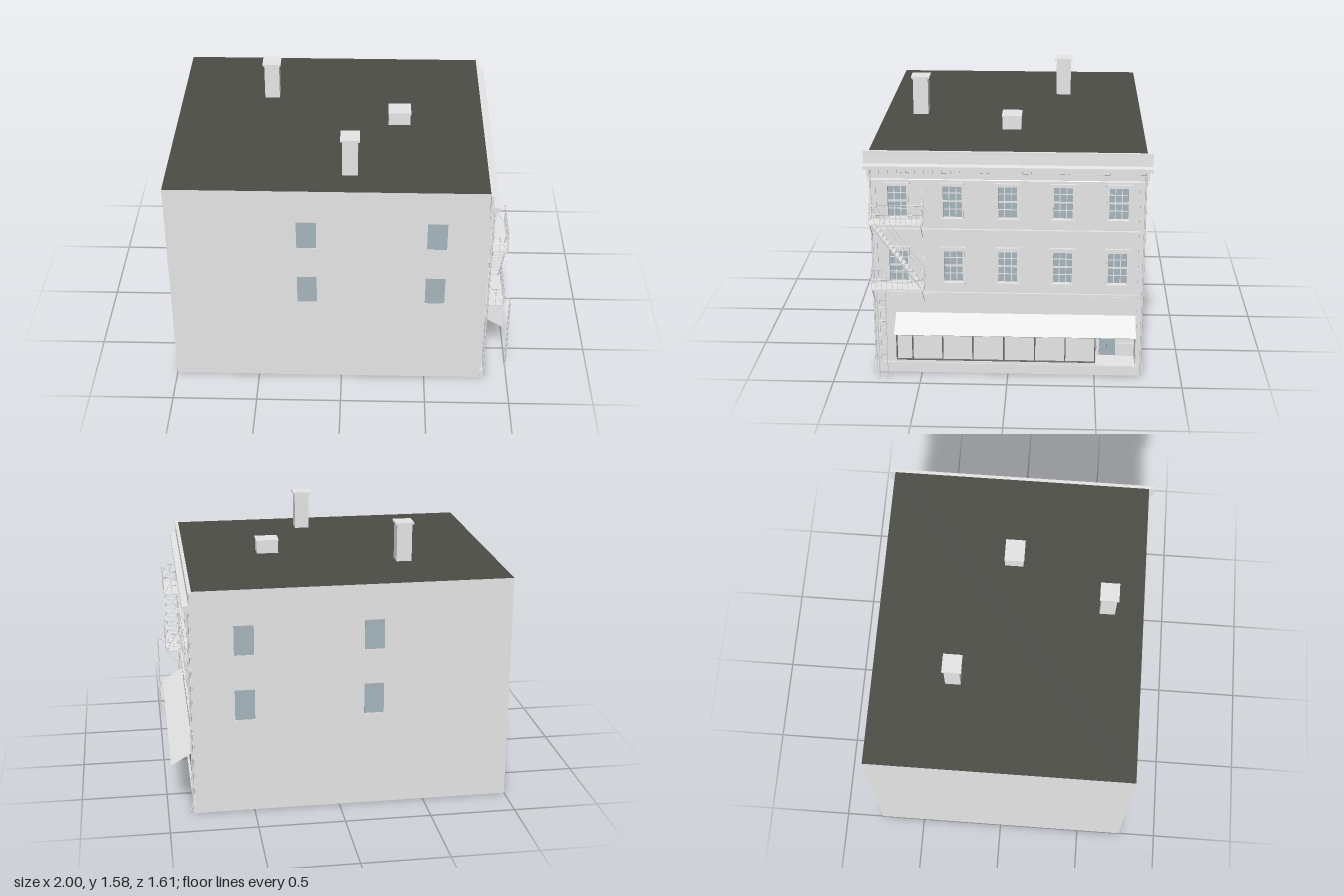
import * as THREE from 'three';

const mat = (name, color, side = THREE.FrontSide) => {
  const m = new THREE.MeshStandardMaterial({ color, side });
  m.name = name;
  return m;
};

export function createModel() {
  const wall = mat('wall grey', 0xe6e6e6, THREE.DoubleSide);
  const roofDark = mat('roof dark', 0x4c4c47);
  const glass = mat('window glass', 0xa6b6bd);
  const frameDark = mat('shopfront frame', 0x6a6a68);

  const model = new THREE.Group();
  model.name = 'building';

  const group = (name, parent = model) => {
    const g = new THREE.Group();
    g.name = name;
    parent.add(g);
    return g;
  };
  const add = (parent, name, geo, m) => {
    const mesh = new THREE.Mesh(geo, m);
    mesh.name = name;
    parent.add(mesh);
    return mesh;
  };
  // box from its limits on each axis
  const box = (parent, name, m, x0, x1, y0, y1, z0, z1) => {
    const b = add(parent, name, new THREE.BoxGeometry(x1 - x0, y1 - y0, z1 - z0), m);
    b.position.set((x0 + x1) / 2, (y0 + y1) / 2, (z0 + z1) / 2);
  };
  // straight bar between two points
  const rod = (parent, name, a, b, r = 0.0018) => {
    const p = new THREE.Vector3(...a), q = new THREE.Vector3(...b);
    const d = q.clone().sub(p);
    const c = add(parent, name, new THREE.CylinderGeometry(r, r, d.length(), 6), wall);
    c.position.copy(p).add(q).multiplyScalar(0.5);
    c.quaternion.setFromUnitVectors(new THREE.Vector3(0, 1, 0), d.normalize());
  };

  // plain walls, open underneath
  const H = 1.345, D = 0.772, F = 0.84;
  for (const s of [1, -1]) {
    const side = add(model, s > 0 ? 'frontWall' : 'backWall', new THREE.PlaneGeometry(F + 1, H), wall);
    side.position.set((F - 1) / 2, H / 2, s * D);
    if (s < 0) side.rotation.y = Math.PI;
    for (const x of [-0.2, 0.545]) for (const [y0, y1] of [[0.57, 0.75], [0.96, 1.135]]) {
      const z = s * D;
      box(model, 'sideWindow', glass, x - 0.057, x + 0.057, y0, y1, z - 0.002, z + 0.002);
      box(model, 'sideSill', wall, x - 0.062, x + 0.062, y0 - 0.006, y0, z - 0.005, z + 0.005);
    }
  }
  const left = add(model, 'leftWall', new THREE.PlaneGeometry(2 * D, H), wall);
  left.position.set(-1, H / 2, 0);
  left.rotation.y = -Math.PI / 2;

  // roof, ground floor, chimneys and hatch
  box(model, 'roof', roofDark, -0.999, 0.832, H - 0.012, H + 0.001, -D + 0.001, D - 0.001);
  box(model, 'shopFloor', wall, 0.17, 0.8, 0.045, 0.055, -D + 0.002, D - 0.002);
  for (const [x, z] of [[-0.45, -0.302], [0.045, 0.558]]) {
    box(model, 'chimney', wall, x - 0.045, x + 0.045, H, 1.568, z - 0.045, z + 0.045);
    box(model, 'chimneyCap', wall, x - 0.055, x + 0.055, 1.568, 1.58, z - 0.055, z + 0.055);
  }
  box(model, 'roofHatch', wall, 0.265, 0.395, H, 1.42, -0.06, 0.05);
  box(model, 'roofHatchLid', wall, 0.262, 0.398, 1.42, 1.428, -0.063, 0.053);

  // street facade: local x runs along the wall, local z points outward
  const facade = group('facade');
  facade.rotation.y = Math.PI / 2;
  const rectPath = (x0, x1, y0, y1, P = THREE.Path) =>
    new P([[x0, y0], [x1, y0], [x1, y1], [x0, y1]].map(p => new THREE.Vector2(...p)));
  const cols = [-0.62, -0.31, 0, 0.31, 0.62];
  const rows = [[0.568, 0.757], [0.957, 1.145]];
  const face = rectPath(-D, D, 0, H - 0.002, THREE.Shape);
  for (const u of cols) for (const [y0, y1] of rows) face.holes.push(rectPath(u - 0.056, u + 0.056, y0, y1));
  face.holes.push(rectPath(-0.65, 0.5, 0.07, 0.26), rectPath(0.51, 0.735, 0.06, 0.26));
  const wallMesh = add(facade, 'streetWall', new THREE.ExtrudeGeometry(face, { depth: 0.035, bevelEnabled: false }), wall);
  wallMesh.position.z = F - 0.035;

  // sash windows with glazing bars, hood and sill
  for (const u of cols) rows.forEach(([y0, y1], row) => {
    const w = group('sashWindow', facade), mid = (y0 + y1) / 2, h = y1 - y0;
    box(w, 'pane', glass, u - 0.056, u + 0.056, y0, y1, 0.816, 0.822);
    for (const s of [-1, 1]) {
      box(w, 'jamb', wall, u + s * 0.058 - 0.005, u + s * 0.058 + 0.005, y0, y1, 0.82, 0.847);
      box(w, 'glazingBar', wall, u + s * 0.019 - 0.0025, u + s * 0.019 + 0.0025, y0, y1, 0.821, 0.825);
    }
    for (const t of [0.25, 0.75]) box(w, 'glazingBar', wall, u - 0.056, u + 0.056, y0 + h * t - 0.0025, y0 + h * t + 0.0025, 0.821, 0.825);
    box(w, 'meetingRail', wall, u - 0.056, u + 0.056, mid - 0.004, mid + 0.004, 0.82, 0.83);
    const hood = row ? 0.012 : 0.018;
    box(w, 'hood', wall, u - 0.064, u + 0.064, y1, y1 + hood, 0.82, 0.85);
    box(w, 'hoodCap', wall, u - 0.071, u + 0.071, y1 + hood, y1 + hood + 0.009, F, 0.857);
    box(w, 'sill', wall, u - 0.067, u + 0.067, y0 - 0.011, y0, 0.815, 0.857);
  });

  // parapet and cornice, one profile swept along the wall
  const sweep = (name, pts, half) => {
    const g = new THREE.ExtrudeGeometry(new THREE.Shape(pts.map(p => new THREE.Vector2(...p))), { depth: 2 * half, bevelEnabled: false });
    add(model, name, g, wall).position.z = -half;
  };
  sweep('cornice', [[0.83, 1.25], [0.885, 1.25], [0.885, 1.27], [0.848, 1.275],
    [0.845, 1.337], [0.85, 1.337], [0.85, 1.347], [0.83, 1.347]], 0.803);
  sweep('frieze', [[0.835, 1.175], [0.85, 1.175], [0.85, 1.183], [0.846, 1.187], [0.846, 1.222], [0.856, 1.226], [0.856, 1.25], [0.835, 1.25]], 0.785);
  for (let i = 0; i < 32; i++) {
    const u = -0.775 + i * 0.05;
    box(facade, 'modillion', wall, u - 0.009, u + 0.009, 1.229, 1.25, 0.855, 0.879);
  }

  // string courses, base, corner pilasters and downpipes
  for (const [y0, y1, o] of [[0.875, 0.892, 0.858], [0.496, 0.505, 0.853], [0, 0.06, 0.856]])
    box(facade, 'course', wall, -0.778, 0.778, y0, y1, 0.835, o);
  for (const s of [-1, 1]) {
    box(facade, 'pilaster', wall, s * 0.75 - 0.012, s * 0.75 + 0.012, 0.06, 1.175, F, 0.848);
    const pts = [[0.856, 1.24], [0.856, 0.9], [0.856, 0.08], [0.86, 0.04], [0.875, 0.008]];
    const curve = new THREE.CatmullRomCurve3(pts.map(([o, y]) => new THREE.Vector3(s * 0.767, y, o)), false, 'catmullrom', 0.2);
    add(facade, 'downpipe', new THREE.TubeGeometry(curve, 24, 0.005, 8), wall);
  }

  // sign panel and shopfront
  box(facade, 'signPanel', wall, -0.435, 0.435, 0.38, 0.496, F, 0.846);
  box(facade, 'signBand', wall, -0.74, 0.74, 0.375, 0.485, F, 0.843);
  box(facade, 'shopPane', wall, -0.65, 0.5, 0.07, 0.26, 0.824, 0.83);
  for (const u of [-0.647, -0.555, -0.38, -0.205, -0.025, 0.155, 0.33, 0.503])
    box(facade, 'mullion', frameDark, u - 0.003, u + 0.003, 0.07, 0.26, 0.83, 0.845);
  box(facade, 'shopLedge', wall, -0.65, 0.51, 0.06, 0.07, 0.82, 0.85);
  box(facade, 'shopRail', frameDark, -0.65, 0.5, 0.07, 0.074, 0.83, 0.843);
  box(facade, 'shopHeader', wall, -0.65, 0.735, 0.26, 0.298, F, 0.847);

  // recessed entrance
  const entry = group('entrance', facade);
  box(entry, 'entryBack', wall, 0.505, 0.74, 0.055, 0.265, 0.70, 0.708);
  box(entry, 'entryFloor', wall, 0.505, 0.74, 0.05, 0.06, 0.70, 0.85);
  box(entry, 'entryCeiling', wall, 0.505, 0.74, 0.26, 0.266, 0.70, 0.81);
  for (const u of [0.503, 0.735]) box(entry, 'entrySide', wall, u, u + 0.007, 0.06, 0.26, 0.70, 0.81);
  box(entry, 'sidePanel', wall, 0.64, 0.735, 0.06, 0.14, 0.708, 0.72);
  box(entry, 'doorFrame', wall, 0.518, 0.637, 0.06, 0.256, 0.708, 0.716);
  box(entry, 'door', glass, 0.53, 0.625, 0.064, 0.244, 0.713, 0.72);
  box(entry, 'doorHandle', frameDark, 0.575, 0.578, 0.115, 0.135, 0.719, 0.725);

  // sloping awning
  const awning = add(facade, 'awning', new THREE.BoxGeometry(1.375, 0.004, 0.158), wall);
  awning.position.set(0.043, 0.332, 0.907);
  awning.rotation.x = Math.atan2(0.083, 0.135);

  // fire escape
  const esc = group('fireEscape', facade);
  const a = -0.768, b = -0.472, inn = 0.852, out = 0.948;
  for (const [y, top] of [[0.56, 0.675], [0.95, 1.064]]) {
    box(esc, 'platform', wall, a, b, y - 0.009, y, inn, out);
    for (const h of [y + 0.058, top]) {
      rod(esc, 'rail', [a, h, out], [b, h, out]);
      for (const u of [a, b]) rod(esc, 'endRail', [u, h, inn], [u, h, out]);
    }
    for (let i = 0; i <= 10; i++) {
      const u = a + (b - a) * i / 10;
      rod(esc, 'baluster', [u, y, out], [u, top, out], 0.0013);
    }
    for (const u of [a, b]) for (const o of [inn, 0.9]) rod(esc, 'baluster', [u, y, o], [u, top, o], 0.0013);
    for (const u of [a + 0.005, -0.48]) {
      rod(esc, 'strut', [u, y - 0.11, 0.842], [u, y - 0.009, out]);
      rod(esc, 'tie', [u, y + 0.17, 0.842], [u, y, out]);
    }
  }
  // flight of steps between the platforms
  const lo = [-0.482, 0.56], hi = [-0.762, 0.945];
  for (const o of [0.866, 0.934]) {
    rod(esc, 'stringer', [lo[0], lo[1], o], [hi[0], hi[1], o], 0.004);
    rod(esc, 'handrail', [lo[0], 0.675, o], [hi[0], 1.055, o]);
  }
  for (let i = 1; i < 16; i++) {
    const t = i / 16, u = lo[0] + (hi[0] - lo[0]) * t, y = lo[1] + (hi[1] - lo[1]) * t;
    box(esc, 'tread', wall, u - 0.011, u + 0.011, y - 0.0015, y + 0.0015, 0.866, 0.934);
  }
  // drop ladder
  for (const u of [-0.73, -0.683]) {
    rod(esc, 'ladderStile', [u, 0.02, 0.994], [u, 0.552, 0.994], 0.003);
    rod(esc, 'ladderHook', [u, 0.552, out], [u, 0.552, 0.996], 0.0025);
  }
  for (let y = 0.05; y < 0.54; y += 0.042) rod(esc, 'rung', [-0.73, y, 0.994], [-0.683, y, 0.994]);

  return model;
}
